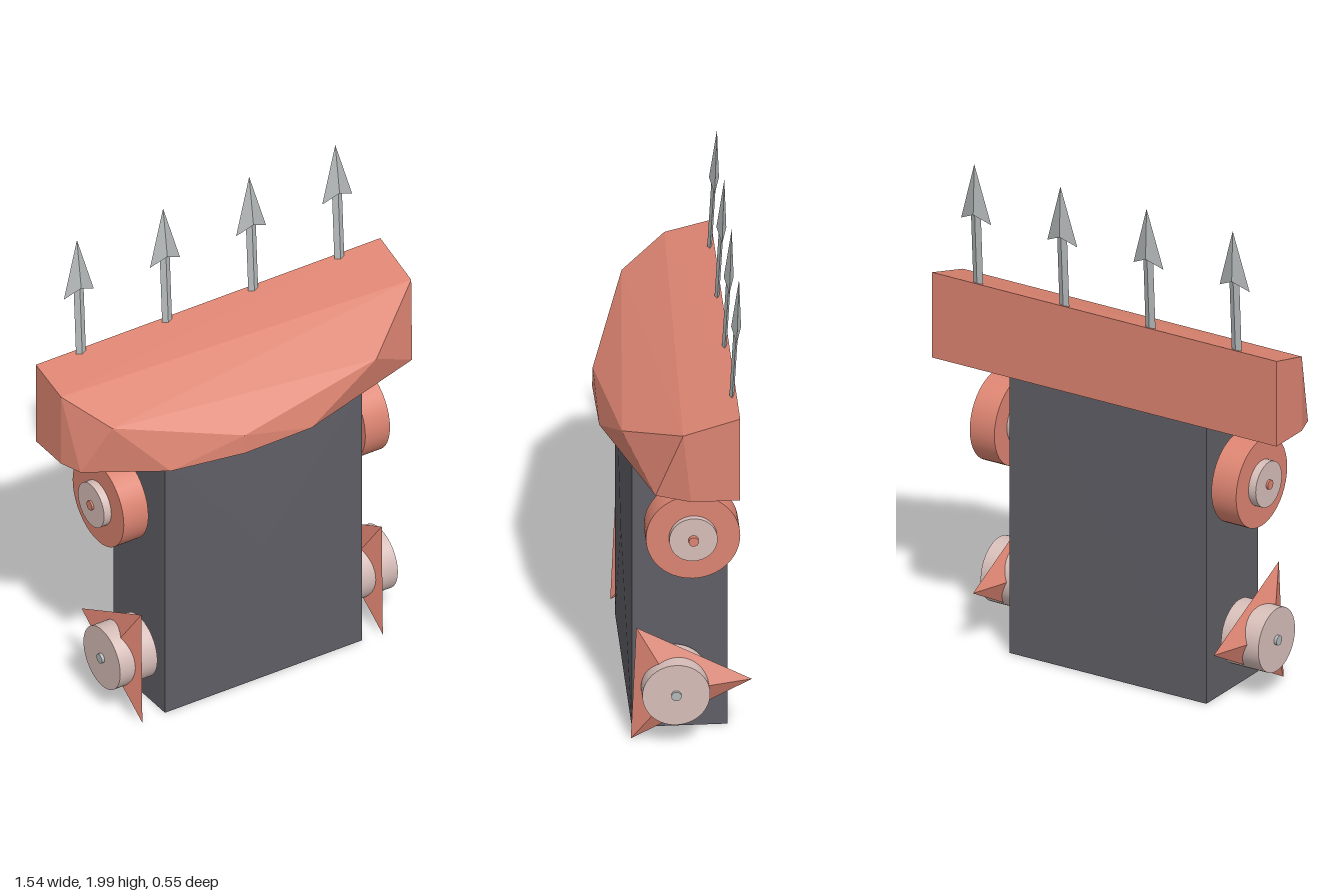
import * as THREE from 'three';
import { ConvexGeometry } from 'three/addons/geometries/ConvexGeometry.js';

const material = (name, color, flatShading = false) => {
  const m = new THREE.MeshStandardMaterial({ color, flatShading });
  m.name = name;
  return m;
};

export function createModel() {
  const red = material('coral red', 0xdc8471);
  const dark = material('charcoal', 0x5e5e65);
  const pink = material('pale pink', 0xd6bdb8);
  const steel = material('steel', 0xb4b8b9);
  const model = new THREE.Group();

  const add = (parent, name, geometry, mat) => {
    const mesh = new THREE.Mesh(geometry, mat);
    mesh.name = name;
    parent.add(mesh);
    return mesh;
  };
  const hull = (points) => new ConvexGeometry(points.map((p) => new THREE.Vector3(...p)));
  // Cylinder along x, from x0 to x1
  const axle = (parent, name, radius, x0, x1, mat) => {
    const g = new THREE.CylinderGeometry(radius, radius, x1 - x0, 40);
    g.rotateZ(Math.PI / 2).translate((x0 + x1) / 2, 0, 0);
    return add(parent, name, g, mat);
  };

  // Slab body with very slightly raised front and back centres
  const corners = [];
  for (const x of [-0.44, 0.44])
    for (const y of [0.01, 1.16])
      for (const z of [-0.19, 0.17]) corners.push([x, y, z]);
  add(model, 'body', hull([...corners, [0, 0.62, 0.18], [0, 0.62, -0.195]]), dark);

  // Faceted overhanging hood
  add(model, 'hood', hull([
    [-0.77, 1.155, -0.215], [0.77, 1.155, -0.215], [-0.77, 1.505, -0.215], [0.77, 1.505, -0.215],
    [-0.77, 1.46, -0.04], [0.77, 1.44, 0], [-0.77, 1.155, -0.04], [0.77, 1.155, -0.03],
    [-0.74, 1.155, 0.05], [0.71, 1.155, 0.1], [-0.65, 1.37, 0.13], [0.48, 1.31, 0.21],
    [-0.45, 1.155, 0.225], [-0.15, 1.235, 0.275], [-0.15, 1.155, 0.277], [0.15, 1.155, 0.272],
  ]), red);

  // Arrow spikes: diamond-section shaft and barbed head, leaning back a little
  const shaft = new THREE.CylinderGeometry(0.022, 0.022, 0.3, 4).toNonIndexed();
  shaft.scale(1, 1, 0.4).translate(0, 0.14, 0).computeVertexNormals();
  const head = new THREE.ConeGeometry(0.067, 0.24, 4).toNonIndexed();
  head.scale(1, 1, 0.28).translate(0, 0.38, 0);
  const hp = head.attributes.position;
  for (let i = 0; i < hp.count; i++) {
    if (hp.getY(i) < 0.3 && Math.abs(hp.getX(i)) < 0.01) hp.setY(i, 0.295); // notch between barbs
  }
  head.computeVertexNormals();
  for (const x of [-0.58, -0.195, 0.19, 0.575]) {
    const spike = new THREE.Group();
    spike.name = 'spike';
    spike.position.set(x, 1.5, -0.197);
    spike.rotation.x = -0.056;
    add(spike, 'spikeShaft', shaft, steel);
    add(spike, 'spikeHead', head, steel);
    model.add(spike);
  }

  // Side wheels
  for (const side of [-1, 1]) {
    const upper = new THREE.Group();
    upper.name = side > 0 ? 'leftUpperWheel' : 'rightUpperWheel';
    upper.position.set(side * 0.54 - 0.002, 0.905, -0.05);
    axle(upper, 'tyre', 0.178, -0.055, 0.055, red);
    axle(upper, 'hub', 0.091, -0.087, 0.078, pink);
    axle(upper, 'axlePin', 0.019, -0.095, 0.095, red);
    model.add(upper);

    const lower = new THREE.Group();
    lower.name = side > 0 ? 'leftLowerWheel' : 'rightLowerWheel';
    lower.position.set(side * 0.5375 - 0.002, 0.24, 0.015);
    axle(lower, 'hub', 0.128, -0.083, 0.083, pink);
    axle(lower, 'axlePin', 0.019, -0.095, 0.095, steel);
    // Three-pointed blade, thick in the middle and sharp at the rim
    add(lower, 'blade', hull([
      [0, 0.25, 0.145], [-0.008, -0.23, 0.165], [0.013, 0.02, -0.29],
      [-0.068, 0.01, 0.002], [0.068, 0.01, 0.002],
    ]), red);
    model.add(lower);
  }
  return model;
}
